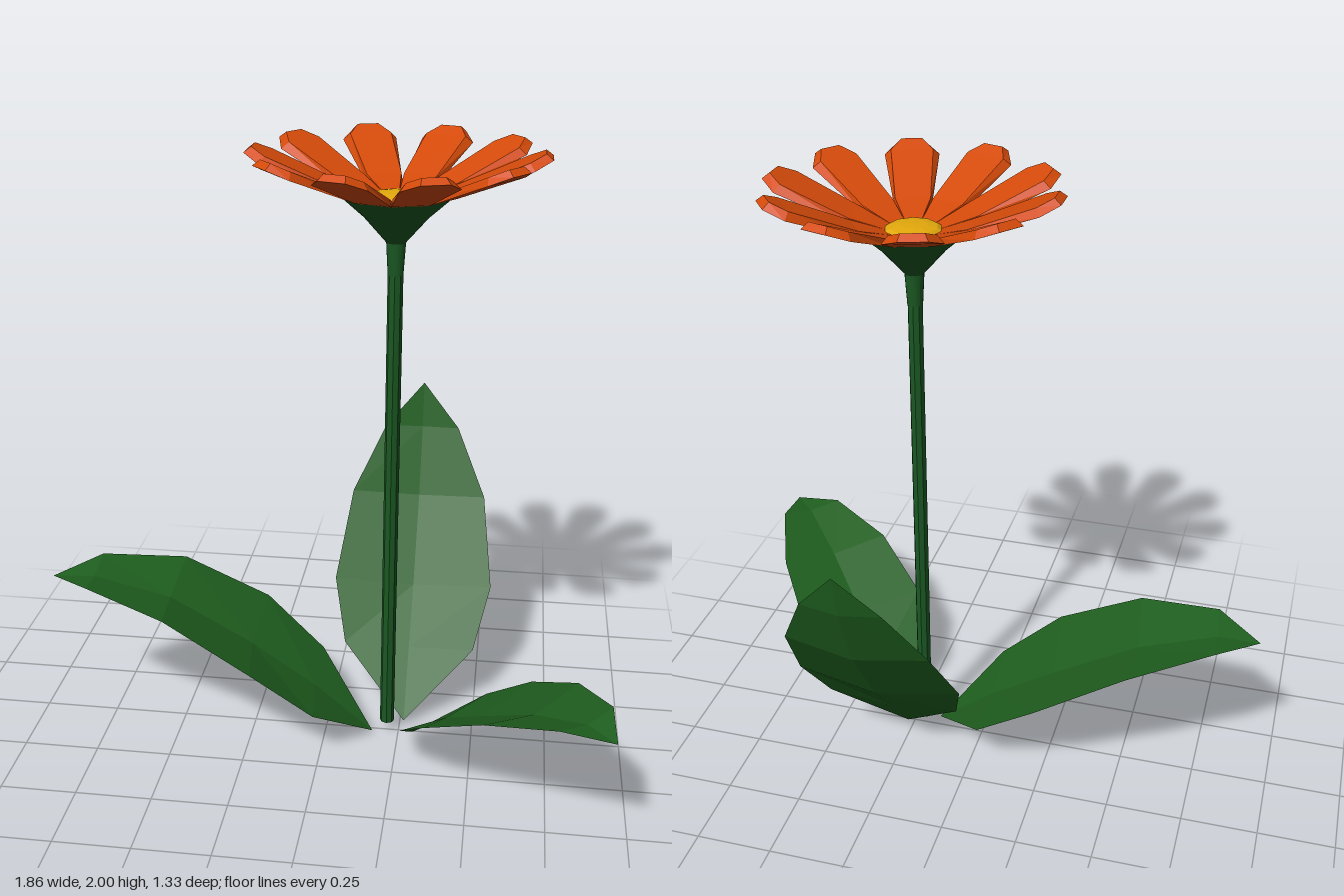
import * as THREE from 'three';

const mat = (name, color) => {
  const m = new THREE.MeshStandardMaterial({ color, flatShading: true, side: THREE.DoubleSide });
  m.name = name;
  return m;
};

// Skins a list of cross-sections (arrays of [x, y, z]); closed joins last point to first
function loft(rows, closed) {
  const pos = [];
  const n = rows[0].length;
  for (let i = 0; i < rows.length - 1; i++) {
    for (let j = 0; j < (closed ? n : n - 1); j++) {
      const k = (j + 1) % n;
      const a = rows[i][j], b = rows[i][k], c = rows[i + 1][k], d = rows[i + 1][j];
      pos.push(...a, ...c, ...b, ...a, ...d, ...c);
    }
  }
  // end cap of a closed skin
  if (closed) {
    const e = rows[rows.length - 1];
    for (let j = 1; j < n - 1; j++) pos.push(...e[0], ...e[j + 1], ...e[j]);
  }
  const g = new THREE.BufferGeometry();
  g.setAttribute('position', new THREE.Float32BufferAttribute(pos, 3));
  g.computeVertexNormals();
  return g;
}

// Leaf along +x, folded up along the midrib: [out, up, sideways, half width, edge lift]
function leafGeometry(sections) {
  const last = sections.length - 1;
  return loft(sections.map(([x, y, z, w, lift], i) => {
    const p = sections[Math.max(i - 1, 0)], q = sections[Math.min(i + 1, last)];
    const len = Math.hypot(q[0] - p[0], q[1] - p[1]);
    const ex = x - lift * (q[1] - p[1]) / len, ey = y + lift * (q[0] - p[0]) / len;
    return [[ex, ey, z - w], [x, y, z], [ex, ey, z + w]];
  }), false);
}

// Petal along +x with a bevelled rim: top [r, half width, y], bottom [r, half width, y]
function petalGeometry() {
  const sections = [
    [0.06, 0.02, 1.85, 0.06, 0.02, 1.83],
    [0.18, 0.054, 1.89, 0.18, 0.058, 1.868],
    [0.385, 0.066, 1.978, 0.4, 0.086, 1.958],
    [0.43, 0.033, 2.0, 0.452, 0.042, 1.983],
  ];
  return loft(sections.map(([r, w, y, rb, wb, yb]) =>
    [[r, y, -w], [r, y, w], [rb, yb, wb], [rb, yb, -wb]]), true);
}

export function createModel() {
  const model = new THREE.Group();
  const leafGreen = mat('leaf green', 0x1f5f1f);
  const stemGreen = mat('stem green', 0x1a5722);
  const orange = mat('petal orange', 0xd44a0a);
  const yellow = mat('centre yellow', 0xe2a80c);

  const add = (parent, name, geo, material) => {
    const m = new THREE.Mesh(geo, material);
    m.name = name;
    parent.add(m);
    return m;
  };

  // Flower on its stem
  const flower = new THREE.Group();
  flower.name = 'flower';
  flower.position.x = 0.21;
  model.add(flower);

  const stem = new THREE.CylinderGeometry(0.024, 0.024, 1.58, 8);
  add(flower, 'stem', stem.translate(0, 0.83, 0), stemGreen);

  const profile = [[0.024, 1.62], [0.03, 1.72], [0.1, 1.8], [0.175, 1.867]];
  const calyx = new THREE.LatheGeometry(profile.map(([r, y]) => new THREE.Vector2(r, y)), 20);
  add(flower, 'calyx', calyx, stemGreen);

  const petal = petalGeometry();
  for (let i = 0; i < 10; i++) {
    add(flower, 'petal', petal, orange).rotation.y = (i * Math.PI) / 5;
  }

  const dome = new THREE.SphereGeometry(0.087, 10, 3, 0, Math.PI * 2, 0, Math.PI / 2);
  add(flower, 'flowerCentre', dome.scale(1, 0.18, 1).translate(0, 1.858, 0), yellow);

  // Two drooping leaves and one that curves upward
  const leaves = [
    ['rightLeaf', [0.16, 0.01, -0.015], Math.PI + 0.055, [
      [0, 0, -0.045, 0, 0], [0.2, 0.158, -0.02, 0.225, 0.02], [0.415, 0.3, 0, 0.275, 0.045],
      [0.695, 0.46, 0.01, 0.235, 0.04], [0.95, 0.535, 0, 0.13, 0.02], [1.09, 0.53, 0, 0, 0]]],
    ['frontLeaf', [0.3, 0, 0.005], -0.805, [
      [0, 0, 0, 0, 0], [0.17, 0.147, 0, 0.19, 0.02], [0.345, 0.245, 0, 0.231, 0.04],
      [0.575, 0.372, 0, 0.2, 0.035], [0.79, 0.45, 0, 0.11, 0.018], [0.91, 0.447, 0, 0, 0]]],
    ['backLeaf', [0.265, 0.02, -0.03], Math.PI / 2, [
      [0, 0, 0, 0, 0], [0.17, 0.195, 0, 0.225, 0.02], [0.32, 0.365, 0, 0.275, 0.045],
      [0.505, 0.635, 0, 0.235, 0.04], [0.6, 0.865, 0, 0.13, 0.02], [0.635, 1.02, 0, 0, 0]]],
  ];
  for (const [name, base, yaw, sections] of leaves) {
    const m = add(model, name, leafGeometry(sections), leafGreen);
    m.position.set(...base);
    m.rotation.y = yaw;
  }
  return model;
}
